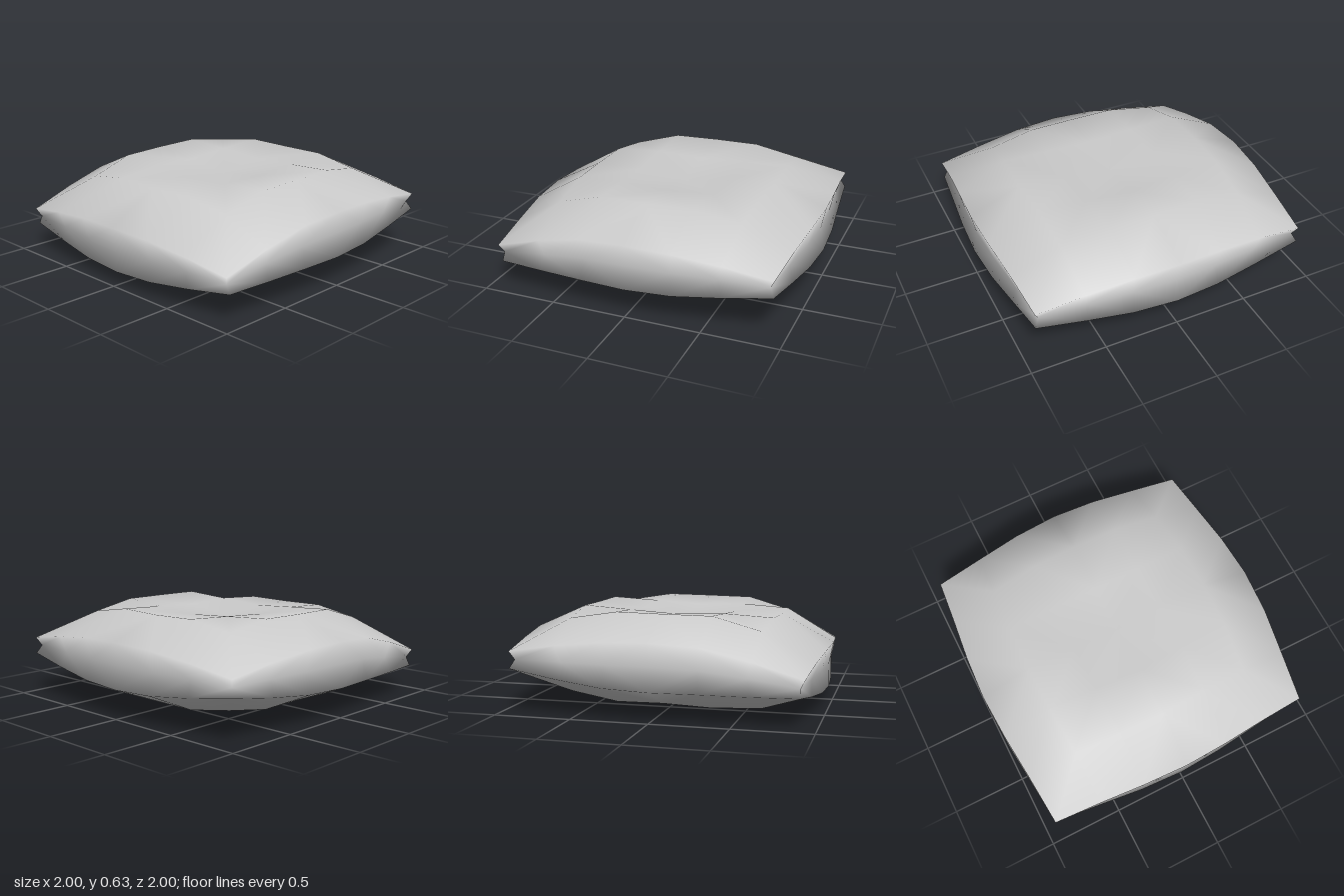
import * as THREE from 'three';
import { mergeVertices } from 'three/addons/utils/BufferGeometryUtils.js';

// Quarter-grid rules, indexed by steps outward from the centre (0..3)
const REACH = [0, 0.325, 0.655, 1];           // distance from the centre line
const BULGE = [1, 0.985, 0.955, 0.928];       // edges bow inwards towards the corners
const PUFF = [                                // half thickness, with a dent in the middle
  [0.21, 0.25, 0.285, 0.15],
  [0.25, 0.27, 0.29, 0.14],
  [0.285, 0.29, 0.24, 0.105],
  [0.15, 0.14, 0.105, 0.055],
];
const SAG = [-0.1, -0.05, -0.01, 0, 0, 0, 0]; // the right side droops
const MID = 0.34;

// One point of the cushion; |i| or |j| = 4 is the pinched seam between the halves
function point(i, j, side) {
  const seam = Math.abs(i) > 3 || Math.abs(j) > 3;
  const ci = THREE.MathUtils.clamp(i, -3, 3);
  const cj = THREE.MathUtils.clamp(j, -3, 3);
  const a = Math.abs(ci), b = Math.abs(cj);
  const pinch = seam ? 0.97 : 1;
  let x = Math.sign(ci) * REACH[a] * BULGE[b] * pinch;
  const z = Math.sign(cj) * REACH[b] * BULGE[a] * pinch;
  if (ci === -3 && side < 0 && !seam) x += 0.025;
  return [x, MID + SAG[ci + 3] + (seam ? 0 : side * PUFF[a][b]), z];
}

function cushionGeometry() {
  const positions = [];
  const triangle = (p, q, r) => {
    const [a, b, c] = [p, q, r].map((v) => new THREE.Vector3(...v));
    if (new THREE.Triangle(a, b, c).getArea() > 1e-6) positions.push(...p, ...q, ...r);
  };
  for (const side of [1, -1]) {
    const face = (p, q, r) => (side > 0 ? triangle(p, q, r) : triangle(p, r, q));
    for (let i = -4; i < 4; i++) {
      for (let j = -4; j < 4; j++) {
        const a = point(i, j, side), b = point(i + 1, j, side);
        const c = point(i + 1, j + 1, side), d = point(i, j + 1, side);
        // Diagonals run from the centre out to the corners
        if ((i + 0.5) * (j + 0.5) > 0) {
          face(a, d, c);
          face(a, c, b);
        } else {
          face(a, d, b);
          face(b, d, c);
        }
      }
    }
  }
  const geometry = new THREE.BufferGeometry();
  geometry.setAttribute('position', new THREE.Float32BufferAttribute(positions, 3));
  const welded = mergeVertices(geometry, 1e-4);
  welded.computeVertexNormals();
  return welded;
}

export function createModel() {
  const group = new THREE.Group();
  group.name = 'pillow';
  const cushion = new THREE.Mesh(
    cushionGeometry(),
    new THREE.MeshStandardMaterial({ color: 0xcccccc })
  );
  cushion.name = 'cushion';
  group.add(cushion);
  return group;
}
